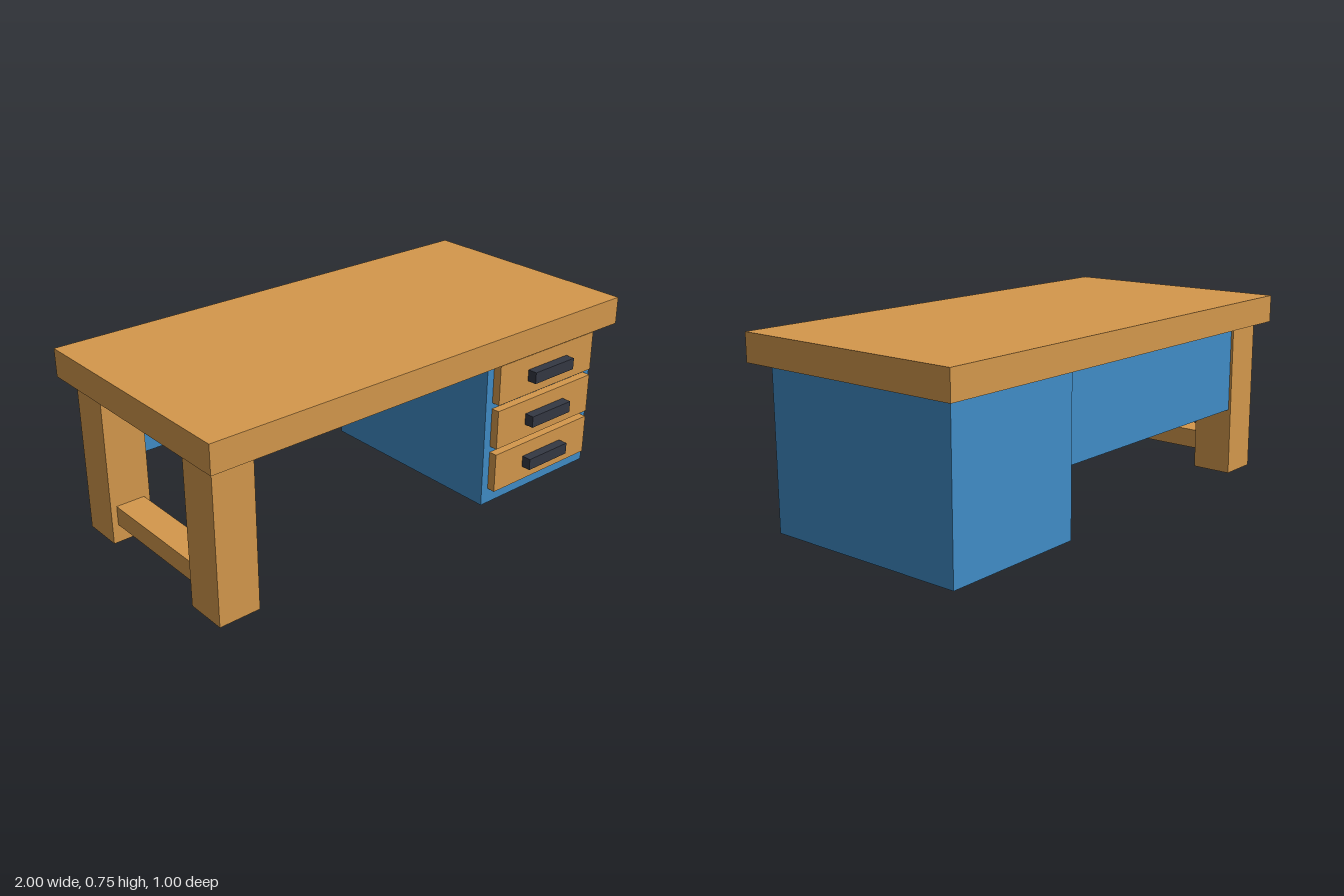
import * as THREE from 'three';

const wood = new THREE.MeshStandardMaterial({ color: 0xd4984c });
const blue = new THREE.MeshStandardMaterial({ color: 0x408cc6 });
const dark = new THREE.MeshStandardMaterial({ color: 0x343843 });

// Box given by its extents along each axis
function box(name, material, [x0, x1], [y0, y1], [z0, z1]) {
  const mesh = new THREE.Mesh(new THREE.BoxGeometry(x1 - x0, y1 - y0, z1 - z0), material);
  mesh.position.set((x0 + x1) / 2, (y0 + y1) / 2, (z0 + z1) / 2);
  mesh.name = name;
  return mesh;
}

export function createModel() {
  const desk = new THREE.Group();
  desk.name = 'desk';
  const underside = 0.64;

  desk.add(box('desktop', wood, [-1, 1], [underside, 0.753], [-0.5, 0.5]));

  // Leg frame: two square posts joined by a low stretcher
  const legX = [-0.95, -0.78];
  desk.add(
    box('frontLeg', wood, legX, [0, underside], [0.255, 0.425]),
    box('backLeg', wood, legX, [0, underside], [-0.45, -0.28]),
    box('stretcher', wood, [-0.925, -0.805], [0.075, 0.155], [-0.28, 0.255])
  );

  // Panel closing the back of the knee space
  desk.add(box('backPanel', blue, [-0.78, 0.328], [0.28, underside], [-0.44, -0.385]));

  // Drawer cabinet
  desk.add(box('cabinet', blue, [0.328, 0.948], [0, underside], [-0.45, 0.425]));
  for (let i = 0; i < 3; i++) {
    const y = 0.147 + i * 0.1915;
    const drawer = new THREE.Group();
    drawer.name = `drawer${i + 1}`;
    drawer.add(
      box('drawerFront', wood, [0.363, 0.91], [y - 0.083, y + 0.083], [0.425, 0.46]),
      box('drawerHandle', dark, [0.524, 0.749], [y - 0.024, y + 0.024], [0.46, 0.5])
    );
    desk.add(drawer);
  }
  return desk;
}
